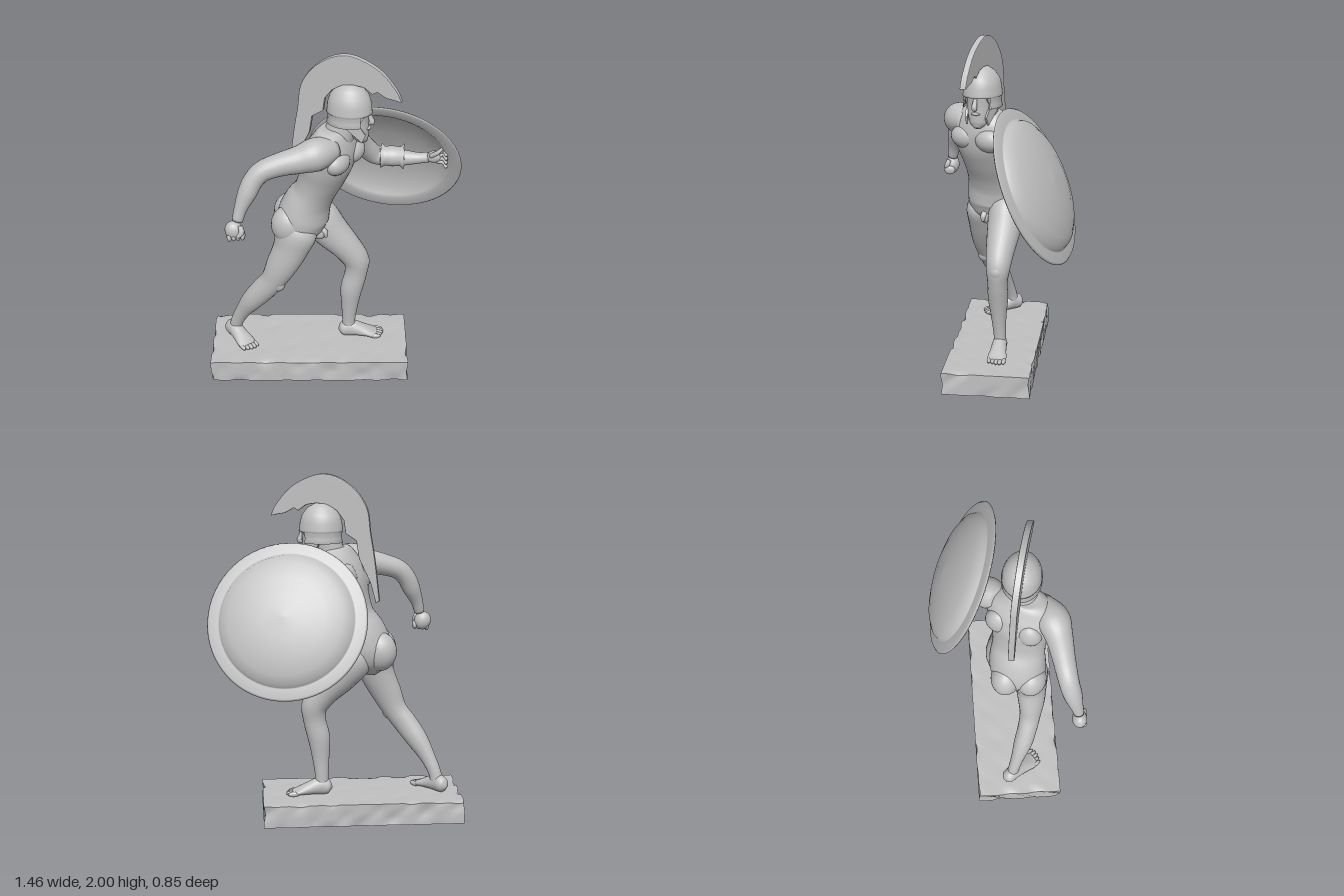
import * as THREE from 'three';

const stone = new THREE.MeshStandardMaterial({ color: 0xc0c0c0 });
stone.name = 'grey stone';
stone.side = THREE.DoubleSide;
const V = (x, y, z) => new THREE.Vector3(x, y, z);

function add(parent, name, geometry, pos = [0, 0, 0], rot = [0, 0, 0], scale = [1, 1, 1]) {
  const mesh = new THREE.Mesh(geometry, stone);
  mesh.name = name;
  mesh.position.set(...pos);
  mesh.rotation.set(...rot);
  mesh.scale.set(...scale);
  parent.add(mesh);
  return mesh;
}
const blob = (parent, name, pos, radii, yaw = 0, roll = 0) =>
  add(parent, name, new THREE.SphereGeometry(1, 24, 16), pos, [0, yaw, roll], radii);

// Smooth loft through [x, y, z, sideRadius, frontRadius]; ref is the "front" of each ring.
function loft(sections, ref = V(1, 0, 0), refEnd = ref, sides = 24, steps = 5) {
  const path = new THREE.CatmullRomCurve3(sections.map(s => V(s[0], s[1], s[2])));
  const radii = new THREE.CatmullRomCurve3(sections.map(s => V(s[3], s[4] ?? s[3], 0)), false, 'catmullrom', 0.5);
  const rings = (sections.length - 1) * steps;
  const pos = [], index = [];
  for (let i = 0; i <= rings; i++) {
    const u = i / rings, p = path.getPoint(u), r = radii.getPoint(u), t = path.getTangent(u);
    const a = ref.clone().lerp(refEnd, u).cross(t).normalize();
    const b = t.clone().cross(a);
    for (let j = 0; j < sides; j++) {
      const k = j / sides * Math.PI * 2;
      const q = p.clone().addScaledVector(a, Math.cos(k) * Math.max(r.x, 0.003))
        .addScaledVector(b, Math.sin(k) * Math.max(r.y, 0.003));
      pos.push(q.x, q.y, q.z);
      if (i < rings) {
        const m = i * sides + j, n = i * sides + (j + 1) % sides;
        index.push(m, n, m + sides, n, n + sides, m + sides);
      }
    }
  }
  const first = path.getPoint(0), last = path.getPoint(1), c = pos.length / 3;
  pos.push(first.x, first.y, first.z, last.x, last.y, last.z);
  for (let j = 0; j < sides; j++) {
    const n = (j + 1) % sides, e = rings * sides;
    index.push(c, n, j, c + 1, e + j, e + n);
  }
  const g = new THREE.BufferGeometry();
  g.setAttribute('position', new THREE.Float32BufferAttribute(pos, 3));
  g.setIndex(index);
  g.computeVertexNormals();
  return g;
}

// Slab with rough, chipped sides
function makeBase(model) {
  const g = new THREE.BoxGeometry(1.16, 0.13, 0.505, 40, 5, 18), p = g.attributes.position;
  for (let i = 0; i < p.count; i++) {
    const x = p.getX(i), y = p.getY(i), z = p.getZ(i);
    const n = Math.sin(x * 17 + z * 9) * Math.sin(z * 23 - x * 11 + y * 30) + 0.5 * Math.sin(x * 41 + y * 45 + z * 37);
    const chip = Math.max(0, n) * 0.009;
    const edge = Math.abs(x) > 0.57 || Math.abs(z) > 0.245;
    if (Math.abs(x) > 0.57) p.setX(i, x - Math.sign(x) * chip);
    if (Math.abs(z) > 0.245) p.setZ(i, z - Math.sign(z) * chip);
    if (y > 0.06) p.setY(i, y - (edge ? chip * 1.2 : chip * 0.25));
  }
  g.computeVertexNormals();
  add(model, 'base', g, [-0.15, 0.065, 0.05]);
}

function makeTorso(model) {
  const chestFront = V(0.87, 0, 0.49);
  add(model, 'torso', loft([
    [-0.16, 0.85, 0.07, 0.06, 0.07], [-0.175, 0.91, 0.07, 0.135, 0.12], [-0.18, 0.99, 0.07, 0.162, 0.145],
    [-0.155, 1.08, 0.07, 0.16, 0.135], [-0.11, 1.17, 0.08, 0.152, 0.116], [-0.07, 1.27, 0.09, 0.165, 0.128],
    [-0.04, 1.37, 0.1, 0.19, 0.142], [-0.015, 1.46, 0.105, 0.205, 0.13], [0, 1.53, 0.11, 0.165, 0.1],
    [0.01, 1.575, 0.11, 0.09, 0.07], [0.01, 1.59, 0.11, 0.03, 0.03],
  ], V(0.94, 0, 0.3), chestFront, 36));
  add(model, 'neck', loft([[-0.01, 1.46, 0.11, 0.11, 0.09], [0.03, 1.55, 0.108, 0.085], [0.06, 1.66, 0.105, 0.08]], chestFront));
  for (const s of [1, -1]) {
    blob(model, 'pectoral', [0.055 + s * 0.042, 1.41, 0.14 - s * 0.074], [0.065, 0.068, 0.092], -0.51);
    blob(model, 'shoulderBlade', [-0.1 + s * 0.045, 1.4, 0.05 - s * 0.08], [0.06, 0.1, 0.075], -0.51);
  }
  blob(model, 'leftButtock', [-0.245, 0.985, 0.0], [0.105, 0.115, 0.088], -0.3);
  blob(model, 'rightButtock', [-0.262, 0.975, 0.14], [0.1, 0.115, 0.088], -0.3);
  blob(model, 'groin', [-0.085, 0.905, 0.11], [0.036, 0.04, 0.036]);
  add(model, 'groinFront', loft([[-0.08, 0.94, 0.115, 0.016], [-0.055, 0.915, 0.125, 0.017], [-0.05, 0.885, 0.127, 0.008]], V(1, 0, 0), V(1, 0, 0), 12));
}

// Foot pointing along local +x, sole at y = 0
function makeFoot(model, name, x, z, yaw) {
  const foot = new THREE.Group();
  foot.name = name;
  foot.position.set(x, 0.13, z);
  foot.rotation.y = yaw;
  add(foot, 'footBody', loft([
    [-0.065, 0.035, 0, 0.01, 0.01], [-0.045, 0.04, 0, 0.038, 0.04], [0, 0.05, 0, 0.042, 0.052], [0.07, 0.036, 0, 0.047, 0.037],
    [0.135, 0.02, 0, 0.055, 0.021], [0.165, 0.015, 0, 0.04, 0.014],
  ], V(0, 1, 0)));
  for (let i = 0; i < 5; i++)
    blob(foot, 'toe', [0.172 - Math.abs(i - 1.4) * 0.008, 0.013, -0.043 + i * 0.021], [0.036, 0.014, 0.012]);
  model.add(foot);
}

function makeLegs(model) {
  add(model, 'leftLeg', loft([
    [-0.16, 1.02, 0.0, 0.06], [-0.1, 0.95, -0.005, 0.1, 0.115], [-0.02, 0.85, 0.0, 0.097, 0.105], [0.07, 0.75, 0.01, 0.082, 0.086],
    [0.125, 0.665, 0.015, 0.07, 0.077], [0.125, 0.58, 0.018, 0.058, 0.066], [0.1, 0.47, 0.018, 0.058, 0.065],
    [0.09, 0.35, 0.015, 0.044, 0.05], [0.085, 0.24, 0.01, 0.036, 0.039], [0.085, 0.17, 0.01, 0.036, 0.04],
  ]));
  blob(model, 'leftKneecap', [0.165, 0.655, 0.018], [0.04, 0.05, 0.045]);
  add(model, 'rightLeg', loft([
    [-0.2, 1.03, 0.13, 0.06], [-0.22, 0.94, 0.14, 0.095, 0.125], [-0.25, 0.83, 0.145, 0.088, 0.105], [-0.31, 0.7, 0.145, 0.075, 0.09],
    [-0.36, 0.6, 0.135, 0.062, 0.072], [-0.42, 0.52, 0.115, 0.058, 0.07], [-0.485, 0.43, 0.085, 0.055, 0.063],
    [-0.545, 0.33, 0.05, 0.04, 0.046], [-0.585, 0.24, 0.025, 0.034, 0.038], [-0.6, 0.17, 0.015, 0.036, 0.038],
  ], V(0.9, 0, 0.4)));
  blob(model, 'rightKneecap', [-0.325, 0.59, 0.155], [0.04, 0.05, 0.042]);
  makeFoot(model, 'leftFoot', 0.09, 0.01, 0);
  makeFoot(model, 'rightFoot', -0.605, 0.015, -0.95);
}

function makeArms(model) {
  add(model, 'rightArm', loft([
    [0.0, 1.49, 0.2, 0.06], [-0.1, 1.485, 0.26, 0.092], [-0.19, 1.465, 0.285, 0.077], [-0.29, 1.445, 0.3, 0.065],
    [-0.39, 1.41, 0.315, 0.058], [-0.44, 1.36, 0.328, 0.055], [-0.475, 1.29, 0.345, 0.052], [-0.51, 1.21, 0.365, 0.037], [-0.53, 1.14, 0.38, 0.03],
  ], V(0, 0, 1)));
  blob(model, 'rightFist', [-0.55, 1.085, 0.385], [0.05, 0.055, 0.042], 0, 0.3);
  for (let i = 0; i < 4; i++)
    blob(model, 'rightFinger', [-0.575 + i * 0.024, 1.05 + i * 0.003, 0.395], [0.015, 0.027, 0.033]);
  add(model, 'rightThumb', loft([[-0.515, 1.12, 0.4, 0.014], [-0.508, 1.085, 0.413, 0.016], [-0.53, 1.06, 0.42, 0.01]], V(1, 0, 0)));

  add(model, 'leftArm', loft([
    [0.03, 1.49, -0.02, 0.06], [0.085, 1.455, -0.07, 0.088], [0.125, 1.385, -0.115, 0.07], [0.18, 1.31, -0.16, 0.06],
    [0.235, 1.25, -0.19, 0.055], [0.31, 1.24, -0.19, 0.054], [0.4, 1.235, -0.18, 0.046], [0.48, 1.24, -0.165, 0.033], [0.54, 1.25, -0.155, 0.03],
  ], V(0, 0, 1)));
  // Flared shield strap around the forearm
  const strap = [[0.05, -0.07], [0.072, -0.065], [0.056, -0.045], [0.06, 0], [0.056, 0.045], [0.075, 0.065], [0.05, 0.07]];
  add(model, 'armStrap', new THREE.LatheGeometry(strap.map(p => new THREE.Vector2(...p)), 28), [0.335, 1.24, -0.19], [0, -0.1, -Math.PI / 2]);
  blob(model, 'leftHand', [0.575, 1.26, -0.145], [0.05, 0.036, 0.03], 0, 0.2);
  for (let i = 0; i < 4; i++)
    add(model, 'leftFinger', loft([
      [0.59, 1.285 - i * 0.018, -0.14, 0.013], [0.625, 1.305 - i * 0.025, -0.125, 0.013], [0.64, 1.285 - i * 0.025, -0.1, 0.009],
    ], V(0, 0.2, 1), V(1, 0.2, 0), 10));
  add(model, 'leftThumb', loft([[0.55, 1.27, -0.13, 0.014], [0.585, 1.3, -0.11, 0.013], [0.615, 1.33, -0.11, 0.008]], V(0, 0, 1), V(0, 0, 1), 10));
}

// Domed shield with flat rim, hollow behind
function makeShield(model) {
  const profile = [[0, 0.115], [0.12, 0.108], [0.23, 0.09], [0.32, 0.062], [0.365, 0.035], [0.378, 0.012], [0.385, 0.01], [0.44, 0.004],
    [0.45, -0.006], [0.44, -0.014], [0.38, -0.008], [0.365, 0.005], [0.32, 0.04], [0.23, 0.07], [0.12, 0.088], [0.001, 0.094]];
  const g = new THREE.LatheGeometry(profile.reverse().map(p => new THREE.Vector2(...p)), 64);
  const shield = add(model, 'shield', g, [0.29, 1.215, -0.22]);
  shield.quaternion.setFromUnitVectors(V(0, 1, 0), V(0.19, 0.41, -0.89).normalize());
}

// Head turned slightly toward the front; local +x is the face
function makeHead(model) {
  const head = new THREE.Group();
  head.name = 'head';
  head.position.set(0.08, 0, 0.105);
  head.rotation.y = -0.24;
  add(head, 'faceAndBeard', loft([
    [0.085, 1.495, 0, 0.018, 0.018], [0.075, 1.515, 0, 0.044, 0.036], [0.055, 1.56, 0, 0.062, 0.058],
    [0.035, 1.61, 0, 0.074, 0.077], [0.02, 1.67, 0, 0.085, 0.092], [0.01, 1.74, 0, 0.08, 0.085],
  ]));
  add(head, 'nose', loft([[0.105, 1.675, 0, 0.01], [0.118, 1.64, 0, 0.013], [0.125, 1.615, 0, 0.016], [0.11, 1.603, 0, 0.008]], V(1, 0, 0), V(1, 0, 0), 12));
  blob(head, 'mouth', [0.108, 1.58, 0], [0.012, 0.008, 0.026]);

  const dome = [[0.001, 1.832], [0.035, 1.826], [0.07, 1.804], [0.098, 1.765], [0.11, 1.72], [0.113, 1.68], [0.116, 1.67], [0.108, 1.67]];
  const guard = [[0.113, 1.68], [0.11, 1.655], [0.108, 1.63], [0.115, 1.608], [0.105, 1.608], [0.1, 1.64]];
  const turn = (pts, ...arc) => new THREE.LatheGeometry(pts.map(p => new THREE.Vector2(...p)).reverse(), 40, ...arc);
  add(head, 'helmetDome', turn(dome), [0, 0, 0], [0, 0, 0], [1.1, 1, 0.95]);
  add(head, 'neckGuard', turn(guard, Math.PI / 2 + 0.85, Math.PI * 2 - 1.7), [0, 0, 0], [0, 0, 0], [1.1, 1, 0.95]);
  const cheek = new THREE.Shape([[-0.02, 1.67], [0.1, 1.67], [0.075, 1.63], [0.08, 1.6], [0.105, 1.56], [0.085, 1.515], [0.05, 1.55], [0.0, 1.6]]
    .map(p => new THREE.Vector2(...p)));
  for (const s of [1, -1])
    add(head, 'cheekGuard', new THREE.ExtrudeGeometry(cheek, { depth: 0.012, bevelEnabled: false }), [0, 0, s * 0.087 - 0.006], [0, s * 0.3, 0]);

  // Tall crest with a long tail down the back
  const crest = new THREE.Shape();
  const at = (x, y) => new THREE.Vector2((x - 0.08) / 0.97, y);
  crest.moveTo(at(0.36, 1.755).x, 1.755);
  crest.splineThru([at(0.33, 1.82), at(0.25, 1.915), at(0.15, 1.975), at(0.06, 1.995), at(-0.03, 1.97), at(-0.12, 1.9),
    at(-0.18, 1.8), at(-0.2, 1.66), at(-0.225, 1.5), at(-0.25, 1.275)]);
  for (const [x, y] of [[-0.23, 1.265], [-0.2, 1.38], [-0.135, 1.52], [-0.12, 1.62], [-0.06, 1.66], [-0.05, 1.735],
    [-0.01, 1.79], [0.04, 1.82], [0.1, 1.83], [0.16, 1.82], [0.205, 1.785], [0.23, 1.8], [0.28, 1.77]])
    crest.lineTo(at(x, y).x, y);
  crest.closePath();
  add(head, 'crest', new THREE.ExtrudeGeometry(crest, { depth: 0.026, bevelThickness: 0.005, bevelSize: 0.004, bevelOffset: -0.004, bevelSegments: 2, curveSegments: 40 }), [0, 0, -0.013]);
  model.add(head);
}

export function createModel() {
  const model = new THREE.Group();
  model.name = 'warriorStatue';
  for (const make of [makeBase, makeTorso, makeLegs, makeArms, makeShield, makeHead]) make(model);
  return model;
}
